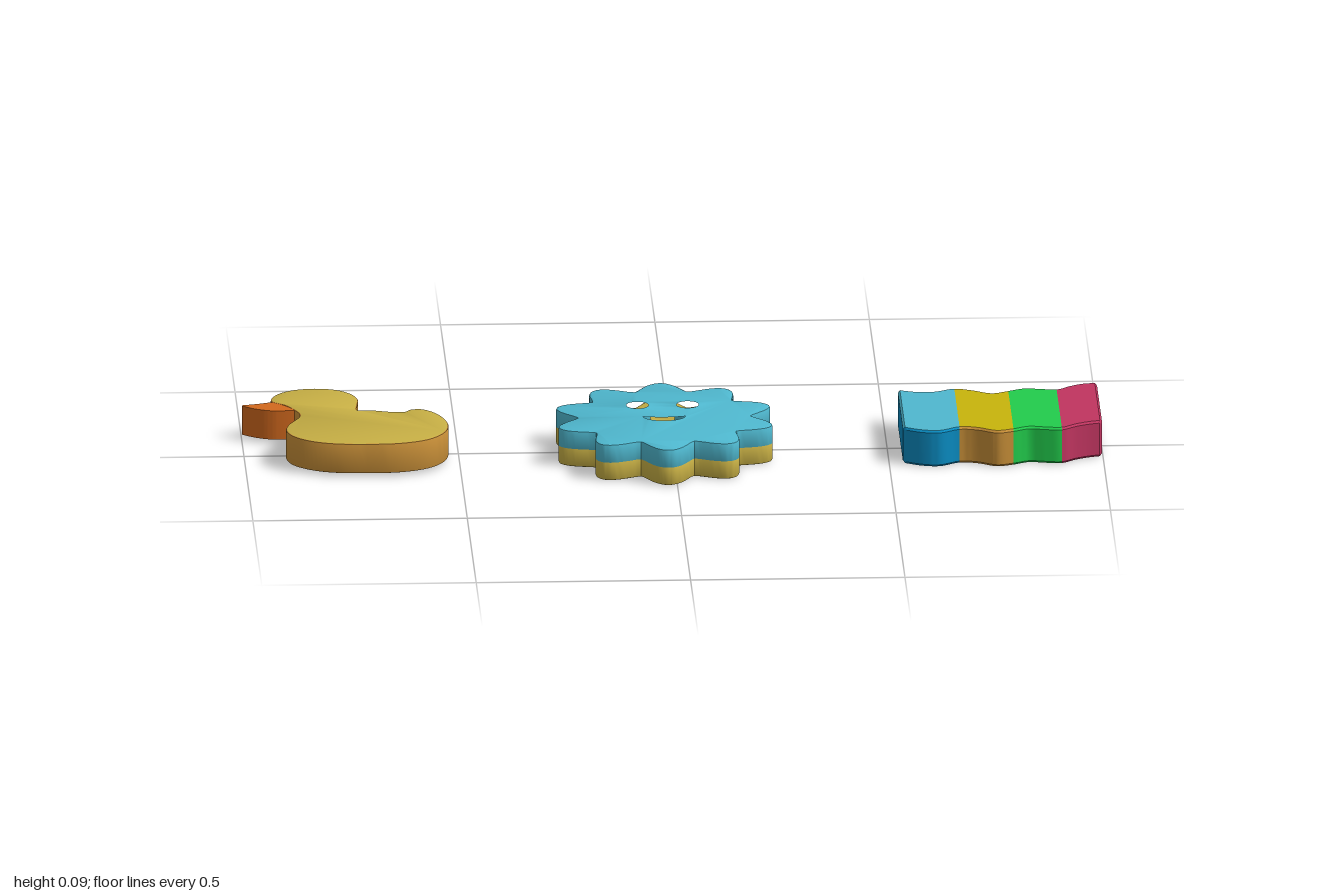
import * as THREE from 'three';
import { toCreasedNormals } from 'three/addons/utils/BufferGeometryUtils.js';

const H = 0.0875; // thickness of the sun and the flag

function material(name, color) {
  const m = new THREE.MeshStandardMaterial({ color });
  m.name = name;
  return m;
}

// Extrudes an outline drawn in (x, -z) upwards between two heights.
function slab(name, shape, y0, y1, bevel, materials) {
  const geo = new THREE.ExtrudeGeometry(shape, {
    depth: y1 - y0 - 2 * bevel, curveSegments: 20,
    bevelEnabled: bevel > 0, bevelThickness: bevel, bevelSize: bevel, bevelOffset: -bevel, bevelSegments: 2,
  });
  geo.rotateX(-Math.PI / 2).translate(0, y0 + bevel, 0);
  const mesh = new THREE.Mesh(toCreasedNormals(geo, 0.5), materials);
  mesh.name = name;
  return mesh;
}

function smoothOutline(points, divisions) {
  const curve = new THREE.CatmullRomCurve3(points.map(([x, z]) => new THREE.Vector3(x, -z, 0)), true);
  return new THREE.Shape(curve.getPoints(divisions).slice(0, -1).map(p => new THREE.Vector2(p.x, p.y)));
}

// Lofts one flag stripe along x; each station is [x, back z, front z].
function stripeGeometry(stations, openLeft, openRight) {
  const b = 0.005;
  const ring = ([x, zb, zf], inset) => {
    const y0 = inset, y1 = H - inset, k = zb + inset, f = zf - inset;
    return [[k + b, y1], [f - b, y1], [f, y1 - b], [f, y0 + b], [f - b, y0], [k + b, y0], [k, y0 + b], [k, y1 - b]]
      .map(([z, y]) => [x, y, z]);
  };
  const rings = stations.map(s => ring(s, 0));
  const last = stations.length - 1;
  if (openLeft) {
    rings[0].forEach(p => { p[0] += b; });
    rings.unshift(ring(stations[0], b));
  }
  if (openRight) {
    rings[rings.length - 1].forEach(p => { p[0] -= b; });
    rings.push(ring(stations[last], b));
  }
  const caps = [], sides = [];
  for (let i = 0; i < rings.length - 1; i++) {
    for (let k = 0; k < 8; k++) {
      const n = (k + 1) % 8, out = k % 4 === 0 ? caps : sides;
      const [p, q, r, s] = [rings[i][k], rings[i][n], rings[i + 1][n], rings[i + 1][k]];
      out.push(...p, ...q, ...r, ...p, ...r, ...s);
    }
  }
  const first = rings[0], end = rings[rings.length - 1];
  for (let k = 1; k < 7; k++) {
    if (openLeft) sides.push(...first[0], ...first[k + 1], ...first[k]);
    if (openRight) sides.push(...end[0], ...end[k], ...end[k + 1]);
  }
  const geo = new THREE.BufferGeometry();
  geo.setAttribute('position', new THREE.Float32BufferAttribute([...caps, ...sides], 3));
  geo.addGroup(0, caps.length / 3, 0);
  geo.addGroup(caps.length / 3, sides.length / 3, 1);
  geo.computeVertexNormals();
  return toCreasedNormals(geo, 0.5);
}

export function createModel() {
  const cyan = material('cyan', 0x4fb8cf);
  const yellow = material('soft yellow', 0xc8b045);
  const brightYellow = material('bright yellow', 0xc8b40c);
  const ochre = material('ochre', 0xc88f38);
  const blue = material('blue', 0x0a8cc2);
  const green = material('green', 0x22cc4c);
  const pink = material('pink', 0xc03560);
  const orange = material('orange', 0xd2691e);

  const model = new THREE.Group();
  model.name = 'foamToys';

  // Duck
  const duck = new THREE.Group();
  duck.name = 'duck';
  const body = smoothOutline([
    [-0.928, -0.168], [-0.928, -0.195], [-0.912, -0.228], [-0.88, -0.255], [-0.826, -0.267], [-0.773, -0.254],
    [-0.741, -0.222], [-0.727, -0.179], [-0.73, -0.136], [-0.733, -0.1], [-0.73, -0.096], [-0.698, -0.093],
    [-0.645, -0.078], [-0.623, -0.079], [-0.607, -0.096], [-0.58, -0.097], [-0.553, -0.071], [-0.532, -0.023],
    [-0.524, 0.03], [-0.537, 0.09], [-0.575, 0.138], [-0.639, 0.165], [-0.719, 0.17], [-0.799, 0.162],
    [-0.853, 0.138], [-0.89, 0.1], [-0.904, 0.052], [-0.896, 0.009], [-0.869, -0.05], [-0.869, -0.077],
    [-0.88, -0.106], [-0.9, -0.142],
  ], 160);
  duck.add(slab('duckBody', body, 0.008, 0.08, 0.003, [yellow, ochre]));
  const beak = new THREE.Shape();
  beak.moveTo(-0.926, 0.168);
  beak.quadraticCurveTo(-0.965, 0.152, -0.995, 0.147);
  beak.quadraticCurveTo(-1.004, 0.143, -0.992, 0.135);
  beak.quadraticCurveTo(-0.955, 0.1, -0.915, 0.098);
  beak.lineTo(-0.878, 0.102);
  beak.quadraticCurveTo(-0.888, 0.132, -0.926, 0.168);
  duck.add(slab('duckBeak', beak, 0.009, 0.079, 0, orange));
  model.add(duck);

  // Sun with ten rounded rays, and a face cut right through
  const sun = new THREE.Group();
  sun.name = 'sun';
  const rim = [];
  for (let i = 0; i < 240; i++) {
    const a = (i / 240) * Math.PI * 2;
    const r = 0.203 + 0.058 * Math.pow((1 + Math.cos(10 * a)) / 2, 0.75);
    rim.push(new THREE.Vector2(-0.02 + r * Math.sin(a), -0.006 + r * Math.cos(a)));
  }
  const face = new THREE.Shape(rim);
  for (const x of [-0.079, 0.038]) {
    face.holes.push(new THREE.Path().absarc(x, 0.082, 0.031, 0, Math.PI * 2, true));
  }
  const mouth = new THREE.Path();
  mouth.moveTo(-0.076, 0);
  mouth.quadraticCurveTo(-0.02, -0.02, 0.036, 0);
  mouth.bezierCurveTo(0.034, -0.06, -0.074, -0.06, -0.076, 0);
  face.holes.push(mouth);
  // The bevelled inner ends sit inside the neighbouring layer
  const bevel = 0.005, seam = H / 2;
  sun.add(slab('sunTopLayer', face, seam - bevel, H, bevel, cyan));
  sun.add(slab('sunBottomLayer', face, 0, seam + bevel, bevel, yellow));
  model.add(sun);

  // Wavy flag in four stripes
  const flag = new THREE.Group();
  flag.name = 'flag';
  const edges = [
    [0.532, -0.178, 0.117], [0.575, -0.162, 0.141], [0.618, -0.162, 0.147], [0.664, -0.183, 0.121],
    [0.706, -0.168, 0.128], [0.749, -0.144, 0.153], [0.789, -0.16, 0.142], [0.826, -0.178, 0.124],
    [0.864, -0.173, 0.131], [0.902, -0.167, 0.135], [0.934, -0.192, 0.111], [0.966, -0.21, 0.094],
    [0.998, -0.214, 0.084],
  ];
  const wave = new THREE.CatmullRomCurve3(edges.map(e => new THREE.Vector3(...e)), false, 'catmullrom', 0.5);
  const stripes = [
    ['blueStripe', cyan, blue], ['yellowStripe', brightYellow, ochre],
    ['greenStripe', green, green], ['pinkStripe', pink, pink],
  ];
  stripes.forEach(([name, top, side], s) => {
    const stations = [];
    for (let i = 0; i <= 15; i++) stations.push(wave.getPoint((s * 15 + i) / 60).toArray());
    const mesh = new THREE.Mesh(stripeGeometry(stations, s === 0, s === 3), [top, side]);
    mesh.name = name;
    flag.add(mesh);
  });
  model.add(flag);
  return model;
}
